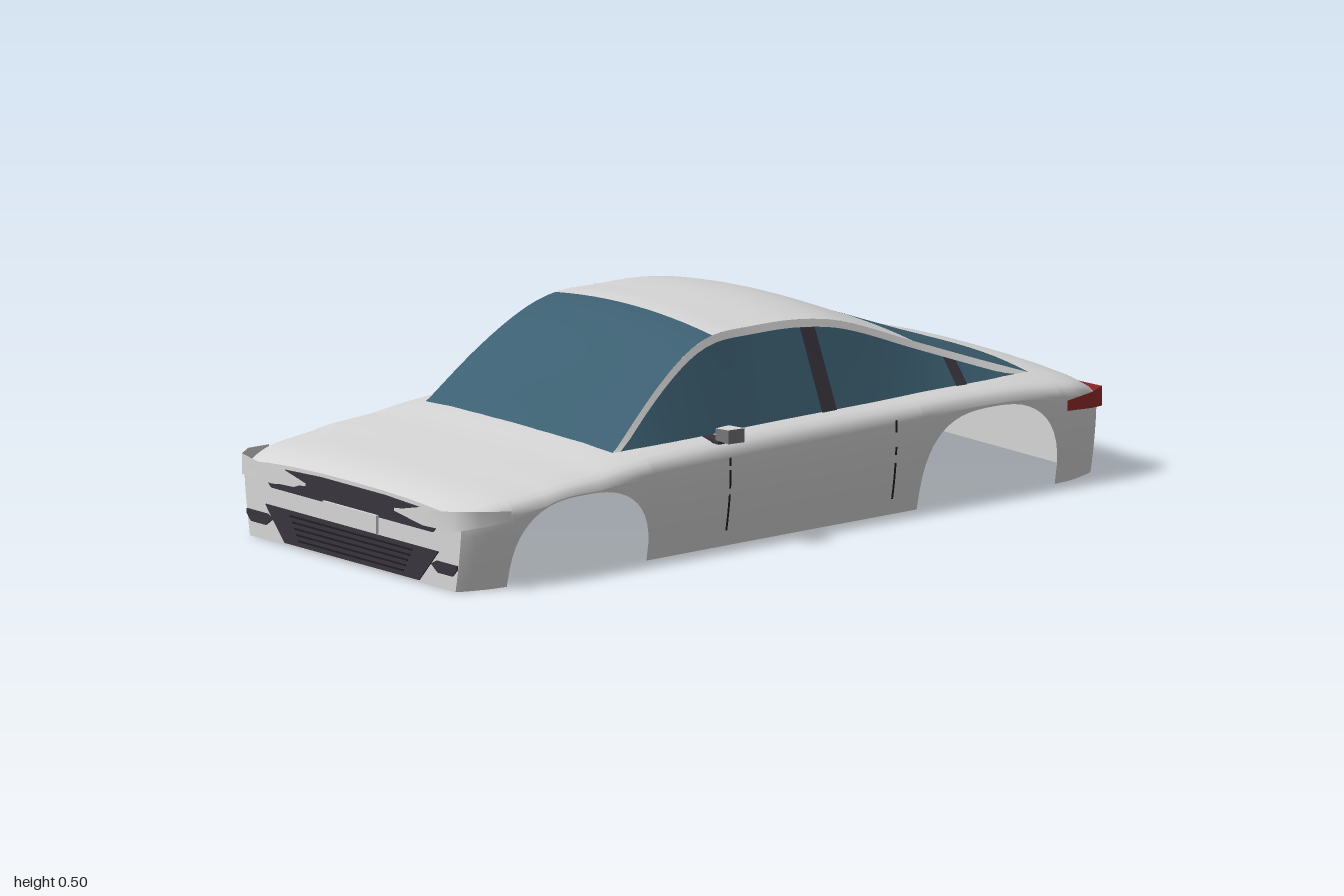
import * as THREE from 'three';

const mat = (name, color) => Object.assign(
  new THREE.MeshStandardMaterial({ color, side: THREE.DoubleSide }), { name });

// Smooth curve through [z, value] keys listed from front to rear
function curve(keys) {
  const slope = (i) => {
    const a = keys[Math.max(i - 1, 0)], b = keys[Math.min(i + 1, keys.length - 1)];
    return (b[1] - a[1]) / (b[0] - a[0]);
  };
  return (z) => {
    if (z >= keys[0][0]) return keys[0][1];
    if (z <= keys[keys.length - 1][0]) return keys[keys.length - 1][1];
    const i = keys.findIndex((k, n) => z <= k[0] && z >= keys[n + 1][0]);
    const [z0, a] = keys[i], [z1, b] = keys[i + 1], h = z1 - z0, t = (z - z0) / h;
    const t2 = t * t, t3 = t2 * t;
    return a * (2 * t3 - 3 * t2 + 1) + b * (3 * t2 - 2 * t3)
      + h * (slope(i) * (t3 - 2 * t2 + t) + slope(i + 1) * (t3 - t2));
  };
}
const span = (a, b, n) => Array.from({ length: n + 1 }, (_, i) => a + (b - a) * i / n);

// Lower body: half width, deck height, shoulder depth, wheel arch height
const W = curve([[0.975, 0.405], [0.95, 0.417], [0.88, 0.437], [0.76, 0.447], [0.3, 0.443],
  [-0.3, 0.443], [-0.7, 0.447], [-0.88, 0.445], [-0.95, 0.42], [-0.98, 0.405]]);
const T = curve([[0.975, 0.2], [0.94, 0.213], [0.88, 0.226], [0.78, 0.236], [0.6, 0.252], [0.47, 0.268],
  [0.3, 0.28], [0, 0.288], [-0.4, 0.288], [-0.7, 0.28], [-0.85, 0.265], [-0.94, 0.247], [-0.98, 0.228]]);
const S = curve([[0.975, 0.05], [0.5, 0.055], [0.2, 0.065], [-0.3, 0.065], [-0.5, 0.055], [-0.98, 0.05]]);
const arches = [[0.632, 0.214, 0.197], [-0.625, 0.211, 0.224]];
function arch(z) {
  for (const [c, h, top] of arches) {
    const t = Math.abs(z - c) / h;
    if (t < 1) return top * Math.pow(1 - Math.pow(t, 2.7), 1 / 2.7);
  }
  return 0;
}
const sideX = (y, z) => W(z) * (1 - 0.055 * Math.pow(Math.max(0, 1 - y / 0.18), 1.6));

// Cabin: roof height, roof edge, belt line
const R = curve([[0.47, 0.268], [0.32, 0.393], [0.2, 0.47], [0.11, 0.5], [0, 0.503], [-0.15, 0.499],
  [-0.29, 0.475], [-0.5, 0.397], [-0.7, 0.323], [-0.87, 0.263]]);
const RX = curve([[0.47, 0.35], [0.11, 0.292], [-0.2, 0.288], [-0.5, 0.303], [-0.87, 0.338]]);
const BX = curve([[0.47, 0.358], [0.3, 0.374], [0, 0.38], [-0.6, 0.38], [-0.75, 0.37], [-0.87, 0.34]]);
const BY = curve([[0.47, 0.243], [0.3, 0.255], [0, 0.262], [-0.4, 0.262], [-0.7, 0.257], [-0.87, 0.24]]);

export function createModel() {
  const car = new THREE.Group();
  car.name = 'carBody';
  const paint = mat('silverPaint', 0xd6d6d6), glass = mat('tealGlass', 0x3c5f71);
  const dark = mat('darkTrim', 0x38353d), black = mat('blackLine', 0x1f1e22);
  const red = mat('redLamp', 0x982a2a), grey = mat('mirrorGrey', 0x77777a);

  const add = (name, geo, material) => {
    const m = new THREE.Mesh(geo, material);
    m.name = name;
    car.add(m);
    return m;
  };
  // Smooth surface through rows of [x, y, z] points
  const grid = (name, material, rows) => {
    const n = rows[0].length, idx = [];
    for (let i = 0; i < rows.length - 1; i++) for (let j = 0; j < n - 1; j++) {
      const a = i * n + j, b = a + n;
      idx.push(a, b, a + 1, b, b + 1, a + 1);
    }
    const g = new THREE.BufferGeometry();
    g.setAttribute('position', new THREE.Float32BufferAttribute(rows.flat(2), 3));
    g.setIndex(idx);
    g.computeVertexNormals();
    return add(name, g, material);
  };
  // Thin plate facing front or rear
  const plate = (name, material, pts, z, depth = 0.005) => {
    const g = new THREE.ExtrudeGeometry(new THREE.Shape(pts.map((p) => new THREE.Vector2(...p))),
      { depth, bevelEnabled: false });
    g.translate(0, 0, z);
    return add(name, g, material);
  };
  const rect = (x0, x1, y0, y1) => [[x0, y0], [x1, y0], [x1, y1], [x0, y1]];

  // Body shell lofted along z, open underneath
  const halfSection = (z) => {
    const y0 = arch(z), top = T(z), ys = Math.max(top - S(z), y0 + 0.004);
    const pts = span(y0, ys, 6).map((y) => [sideX(y, z), y, z]);
    [[0.99, 0.25], [0.965, 0.45], [0.92, 0.6], [0.8, 0.77], [0.55, 0.91], [0.28, 0.98], [0, 1]]
      .forEach(([fx, fy]) => pts.push([W(z) * fx, ys + (top - ys) * fy, z]));
    return pts;
  };
  const mirror = (p) => [-p[0], p[1], p[2]];
  const archZ = ([c, h]) => span(0, Math.PI, 28).map((a) => c + h * Math.cos(a));
  const stations = [...span(0.975, 0.86, 7), ...archZ(arches[0]), ...span(0.39, -0.39, 12),
    ...archZ(arches[1]), ...span(-0.855, -0.98, 7)];
  grid('bodyShell', paint, stations.map((z) => {
    const half = halfSection(z);
    return [...half, ...half.slice(0, -1).reverse().map(mirror)];
  }));
  grid('nosePanel', paint, halfSection(0.975).map((p) => [mirror(p), p]));
  grid('tailPanel', paint, halfSection(-0.98).map((p) => [p, mirror(p)]));

  // Windscreen, roof and rear window share one crowned surface
  const crown = (name, material, z0, z1, n) => grid(name, material, span(z0, z1, n).map((z) =>
    span(1, -1, 12).map((u) => [u * RX(z), R(z) - 0.02 * u * u, z])));
  crown('windscreen', glass, 0.475, 0.11, 14);
  crown('roof', paint, 0.11, -0.5, 20);
  crown('rearWindow', glass, -0.5, -0.87, 12);

  // Cabin sides: window below, painted rail above, dark pillars
  const sidePoint = (s, z, v, out = 0) => [s * (BX(z) + (RX(z) - BX(z)) * v + out),
    BY(z) + (R(z) - 0.02 - BY(z)) * v, z];
  const railV = (z) => 1 - Math.min(0.5, 0.018 / Math.max(0.02, R(z) - 0.02 - BY(z)));
  for (const s of [1, -1]) {
    const side = s > 0 ? 'left' : 'right';
    const cabinZ = span(0.47, -0.87, 44);
    grid(side + 'SideWindow', glass, cabinZ.map((z) => [0, 0.5, 1].map((v) => sidePoint(s, z, v * railV(z)))));
    grid(side + 'RoofRail', paint, cabinZ.map((z) => [railV(z), 1].map((v) => sidePoint(s, z, v))));
    for (const [z0, z1] of [[-0.155, -0.2], [-0.572, -0.607]])
      grid(side + 'WindowPillar', dark, [z0, z1].map((z) => [0, 0.5, 1].map((v) => sidePoint(s, z, v * railV(z), 0.003))));

    // Door shut lines
    for (const [z, lo, hi] of [[0.18, 0.04, 0.13], [0.18, 0.145, 0.19], [0.18, 0.2, 0.22],
      [-0.33, 0.04, 0.13], [-0.33, 0.15, 0.17], [-0.33, 0.205, 0.235]])
      grid(side + 'DoorLine', black, [z + 0.003, z - 0.003].map((q) =>
        span(lo, hi, 4).map((y) => [s * (sideX(y, q) + 0.003), y, q])));

    // Door mirror on a dark arm
    const housing = new THREE.BoxGeometry(0.06, 0.034, 0.045);
    const p = housing.attributes.position;
    for (let i = 0; i < p.count; i++) {
      if (p.getX(i) * s < 0) p.setY(i, p.getY(i) * 0.85 - 0.001);
      if (p.getZ(i) > 0) p.setX(i, p.getX(i) * 0.8);
    }
    housing.computeVertexNormals();
    add(side + 'MirrorHousing', housing, [grey, grey, paint, grey, grey, glass])
      .position.set(s * 0.453, 0.28, 0.19);
    const arm = add(side + 'MirrorArm', new THREE.BoxGeometry(0.075, 0.011, 0.03), dark);
    arm.position.set(s * 0.4, 0.26, 0.195);

    // Wraparound lamps: x, z, lower y, upper y
    const lamp = (name, material, cols) => grid(side + name, material,
      cols.map(([x, z, lo, hi]) => [[s * x, lo, z], [s * x, hi, z]]));
    lamp('Headlight', paint, [[0.165, 0.985, 0.161, 0.168], [0.28, 0.992, 0.147, 0.183],
      [0.395, 0.99, 0.15, 0.2], [0.432, 0.94, 0.16, 0.199], [0.452, 0.86, 0.168, 0.192]]);
    lamp('TailLamp', red, [[0, -0.986, 0.188, 0.2], [0.15, -0.988, 0.187, 0.203], [0.3, -0.99, 0.176, 0.21],
      [0.41, -0.993, 0.165, 0.213], [0.437, -0.94, 0.172, 0.211], [0.454, -0.85, 0.181, 0.206]]);

    // Bumper inserts front and rear
    const flip = (pts) => pts.map(([x, y]) => [s * x, y]);
    plate(side + 'FrontBumperInsert', dark, flip([[0.315, 0.065], [0.392, 0.065], [0.392, 0.055],
      [0.375, 0.037], [0.32, 0.037], [0.295, 0.055]]), 0.974);
    plate(side + 'RearBumperInsert', dark, flip([[0.29, 0.09], [0.385, 0.09], [0.375, 0.062], [0.31, 0.062]]), -0.985);
  }

  // Upper grille, lower intake with slats, number plates
  plate('upperGrille', dark, [[-0.25, 0.184], [-0.12, 0.19], [0.12, 0.19], [0.25, 0.184], [0.17, 0.165],
    [0.22, 0.147], [0.312, 0.143], [0.3, 0.132], [-0.3, 0.132], [-0.312, 0.143], [-0.22, 0.147], [-0.17, 0.165]], 0.974);
  plate('lowerIntake', dark, [[-0.322, 0.088], [0.322, 0.088], [0.25, 0.006], [-0.25, 0.006]], 0.974);
  span(0.018, 0.074, 4).forEach((y, i) => {
    const w = 0.195 + i * 0.008;
    plate('intakeSlat', black, rect(-w, w, y, y + 0.004), 0.977);
  });
  plate('frontNumberPlate', paint, rect(-0.1, 0.1, 0.092, 0.137), 0.978, 0.008);
  plate('rearNumberPlate', paint, rect(-0.1, 0.1, 0.11, 0.15), -0.984);

  // Centre on z
  car.children.forEach((m) => { m.position.z += 0.0005; });
  return car;
}
